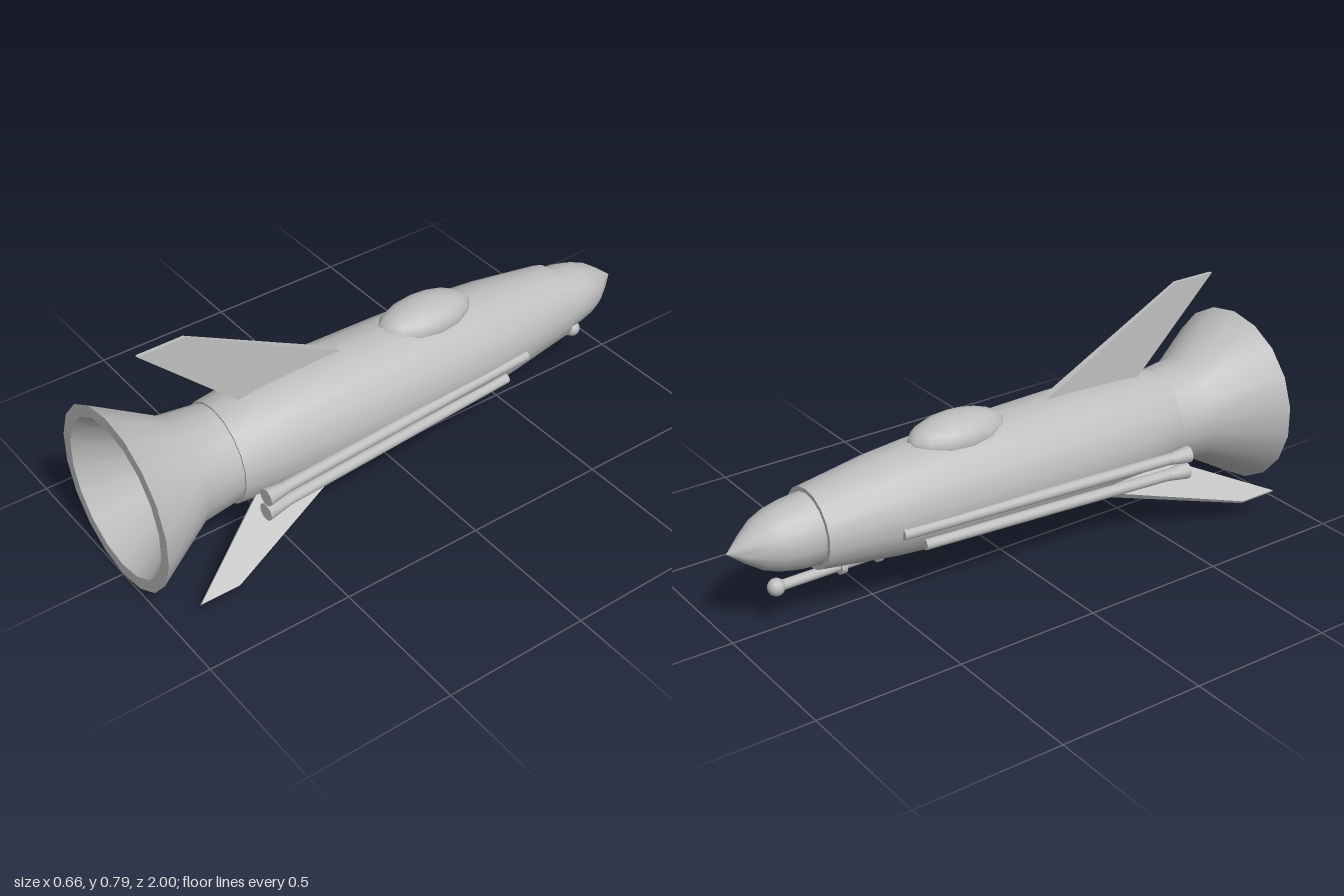
import * as THREE from 'three';
import { toCreasedNormals } from 'three/addons/utils/BufferGeometryUtils.js';

const AXIS_Y = 0.311; // height of the hull's centre line

export function createModel() {
  const ship = new THREE.Group();
  ship.name = 'rocketShip';
  const grey = new THREE.MeshStandardMaterial({ color: 0xbebebe });
  grey.name = 'hull grey';

  const add = (name, geometry, parent = ship) => {
    const mesh = new THREE.Mesh(geometry, grey);
    mesh.name = name;
    parent.add(mesh);
    return mesh;
  };

  // Turned parts: [radius, z] profile listed from nose to tail
  const turned = (name, profile) => {
    const points = profile.map(([r, z]) => new THREE.Vector2(r, z));
    const geometry = new THREE.LatheGeometry(points, 18).rotateX(Math.PI / 2);
    return add(name, toCreasedNormals(geometry, 0.6)).position.setY(AXIS_Y);
  };

  turned('noseCone', [[0, -1], [0.045, -0.945], [0.08, -0.895], [0.1, -0.845], [0.113, -0.785], [0.12, -0.71]]);
  turned('fuselage', [[0, -0.72], [0.134, -0.72], [0.17, -0.46], [0.183, -0.3], [0.193, -0.05],
    [0.198, 0.25], [0.19, 0.47], [0.172, 0.64], [0, 0.64]]);
  turned('engineBell', [[0.165, 0.6], [0.166, 0.65], [0.181, 0.78], [0.309, 1],
    [0.267, 1], [0.115, 0.75], [0, 0.75]]);

  // Canopy bubble half sunk into the hull
  const canopy = add('canopy', new THREE.SphereGeometry(1, 14, 12));
  canopy.scale.set(0.096, 0.073, 0.18);
  canopy.position.set(0, 0.48, -0.17);

  // Tapered fins: outline in [z, radius], thinning towards the tip
  const fin = (name, outline, angle, tipRadius) => {
    const shape = new THREE.Shape(outline.map(([z, r]) => new THREE.Vector2(-z, r)));
    const geometry = new THREE.ExtrudeGeometry(shape, { depth: 2, bevelEnabled: false });
    geometry.translate(0, 0, -1).rotateY(Math.PI / 2);
    const p = geometry.attributes.position;
    for (let i = 0; i < p.count; i++) {
      const t = (p.getY(i) - 0.15) / (tipRadius - 0.15);
      p.setX(i, p.getX(i) * THREE.MathUtils.lerp(0.015, 0.006, t));
    }
    geometry.computeVertexNormals();
    const mesh = add(name, geometry);
    mesh.rotation.z = angle;
    mesh.position.y = AXIS_Y;
  };
  const lowerFin = [[0.14, 0.15], [0.78, 0.402], [0.92, 0.402], [0.56, 0.15]];
  const lowerAngle = THREE.MathUtils.degToRad(125.3);
  fin('topFin', [[0.09, 0.15], [0.72, 0.48], [0.88, 0.48], [0.53, 0.15]], 0, 0.48);
  fin('leftFin', lowerFin, -lowerAngle, 0.402);
  fin('rightFin', lowerFin, lowerAngle, 0.402);

  // Rod between two points, tapering from r0 to r1
  const rod = (name, from, to, r0, r1, sides, parent) => {
    const a = new THREE.Vector3(...from), b = new THREE.Vector3(...to);
    const mesh = add(name, new THREE.CylinderGeometry(r1, r0, a.distanceTo(b), sides), parent);
    mesh.position.copy(a).add(b).multiplyScalar(0.5);
    mesh.quaternion.setFromUnitVectors(new THREE.Vector3(0, 1, 0), b.sub(a).normalize());
  };

  // Paired booster tubes with flared ends on each flank
  for (const [side, s] of [['left', 1], ['right', -1]]) {
    const pair = new THREE.Group();
    pair.name = side + 'BoosterTubes';
    ship.add(pair);
    rod('upperTube', [s * 0.226, 0.273, 0.56], [s * 0.163, 0.284, -0.48], 0.02, 0.018, 12, pair);
    rod('upperFlare', [s * 0.23, 0.272, 0.61], [s * 0.226, 0.273, 0.53], 0.03, 0.019, 12, pair);
    rod('lowerTube', [s * 0.221, 0.211, 0.56], [s * 0.16, 0.222, -0.4], 0.02, 0.018, 12, pair);
    rod('lowerFlare', [s * 0.225, 0.21, 0.61], [s * 0.221, 0.211, 0.53], 0.03, 0.019, 12, pair);
  }

  // Sensor probe under the nose
  const probe = new THREE.Group();
  probe.name = 'probe';
  ship.add(probe);
  rod('probeRod', [0, 0.145, -0.35], [0, 0.145, -0.84], 0.017, 0.017, 12, probe);
  for (const z of [-0.475, -0.61]) {
    rod('probeRing', [0, 0.143, z + 0.01], [0, 0.143, z - 0.01], 0.027, 0.027, 12, probe);
  }
  add('probeTip', new THREE.SphereGeometry(0.029, 12, 8), probe).position.set(0, 0.145, -0.84);

  return ship;
}
